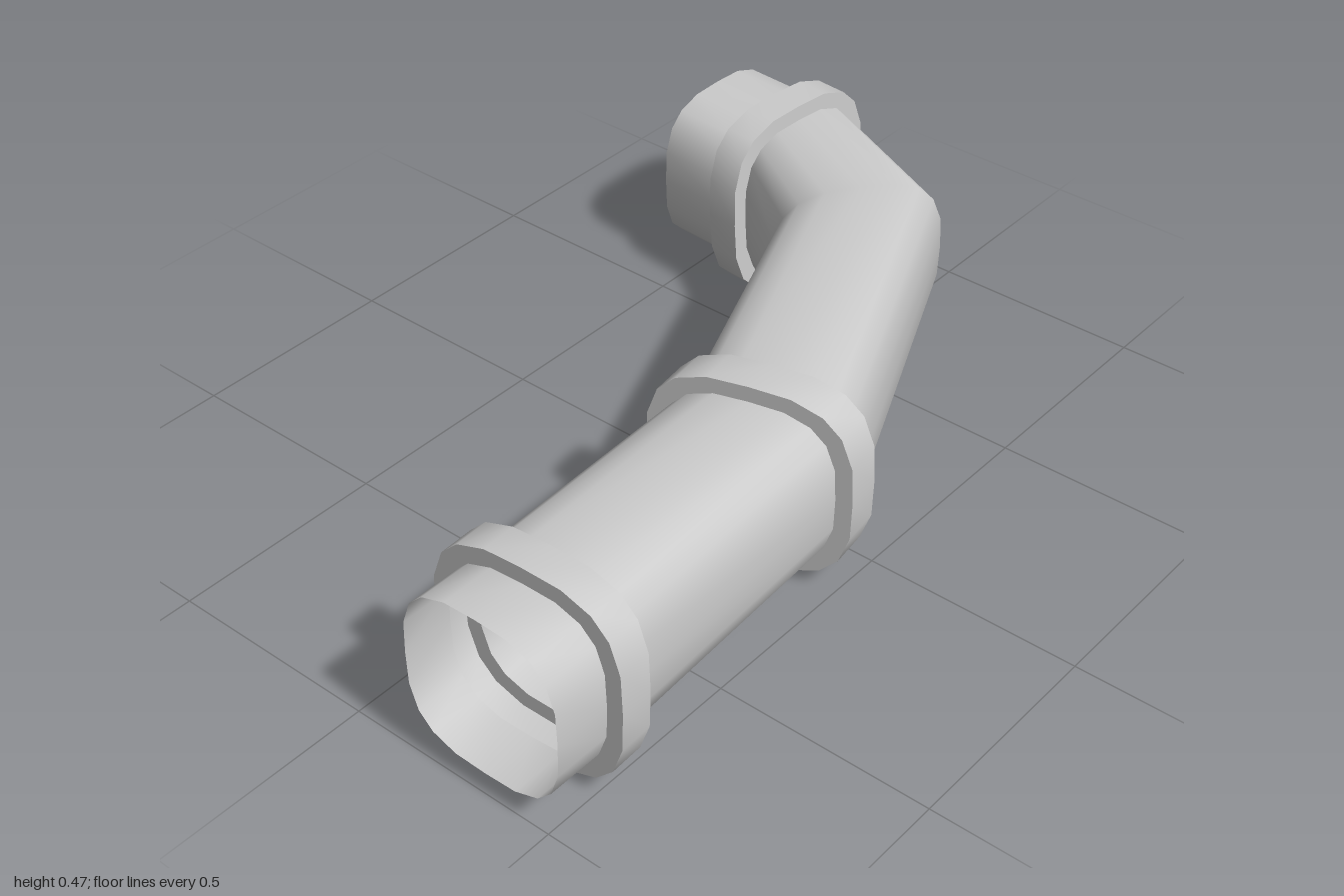
import * as THREE from 'three';
import { mergeGeometries } from 'three/addons/utils/BufferGeometryUtils.js';

// One quarter of the rounded-square duct section, repeated four times.
const QUARTER = [[1, 0], [0.985, 0.4], [0.88, 0.7], [0.7, 0.88], [0.4, 0.985]];
const SECTION = [];
for (let q = 0; q < 4; q++) {
  const c = [1, 0, -1, 0][q], s = [0, 1, 0, -1][q];
  for (const [a, b] of QUARTER) SECTION.push([a * c - b * s, a * s + b * c]);
}

const PIPE = 0.191, COLLAR = 0.228;

// A station is a placed cross-section: centre, turn in degrees, lean, half width and half height.
const station = (x, y, z, turn, lean = 0, w = PIPE, h = PIPE) => ({ x, y, z, turn, lean, w, h });
const resize = (s, r) => ({ ...s, w: r, h: r });

// Skin a closed section through a list of stations.
function loft(stations) {
  const n = SECTION.length, pos = [], index = [];
  for (const s of stations) {
    const t = THREE.MathUtils.degToRad(s.turn), c = Math.cos(t), k = Math.sin(t);
    for (const [a, b] of SECTION) {
      const u = a * s.w, v = b * s.h;
      pos.push(s.x + u * c - v * s.lean * k, s.y + v, s.z - u * k - v * s.lean * c);
    }
  }
  for (let i = 0; i < stations.length - 1; i++) {
    for (let j = 0; j < n; j++) {
      const a = i * n + j, b = i * n + (j + 1) % n;
      index.push(a, a + n, b, b, a + n, b + n);
    }
  }
  const g = new THREE.BufferGeometry();
  g.setAttribute('position', new THREE.Float32BufferAttribute(pos, 3));
  g.setIndex(index);
  g.computeVertexNormals();
  return g;
}

// Collar: step out, run along, step back in, with sharp edges and an open groove inside.
function collar(a, b) {
  const A = resize(a, COLLAR), B = resize(b, COLLAR);
  return mergeGeometries([loft([a, A]), loft([A, B]), loft([B, b])]);
}

export function createModel() {
  const group = new THREE.Group();
  const material = new THREE.MeshStandardMaterial({ color: 0xcccccc, side: THREE.DoubleSide });
  const add = (name, geometry) => {
    const mesh = new THREE.Mesh(geometry, material);
    mesh.name = name;
    group.add(mesh);
  };

  // Stations from the front opening to the side opening
  const frontEnd = station(0.343, 0.248, 1, 0);
  const frontA = station(0.343, 0.248, 0.875, 2);
  const frontB = station(0.34, 0.248, 0.795, 2);
  const middleA = station(0.311, 0.247, 0.185, 15, -0.03);
  const middleB = station(0.299, 0.247, 0.095, 15, -0.03);
  const elbow = station(-0.012, 0.232, -0.617, 53, 0, 0.203);
  const sideA = station(-0.297, 0.23, -0.771, 86, 0.035);
  const sideB = station(-0.378, 0.23, -0.778, 86, 0.035);
  const sideEnd = station(-0.568, 0.231, -0.789, 89);

  // Thin open duct walls
  add('frontSpigot', loft([frontEnd, frontA]));
  add('straightDuct', loft([frontB, middleA]));
  add('elbowDuct', loft([middleB, elbow, sideA]));
  add('sideSpigot', loft([sideB, sideEnd]));

  // Raised joint collars
  add('frontCollar', collar(frontA, frontB));
  add('middleCollar', collar(middleA, middleB));
  add('sideCollar', collar(sideA, sideB));
  return group;
}
